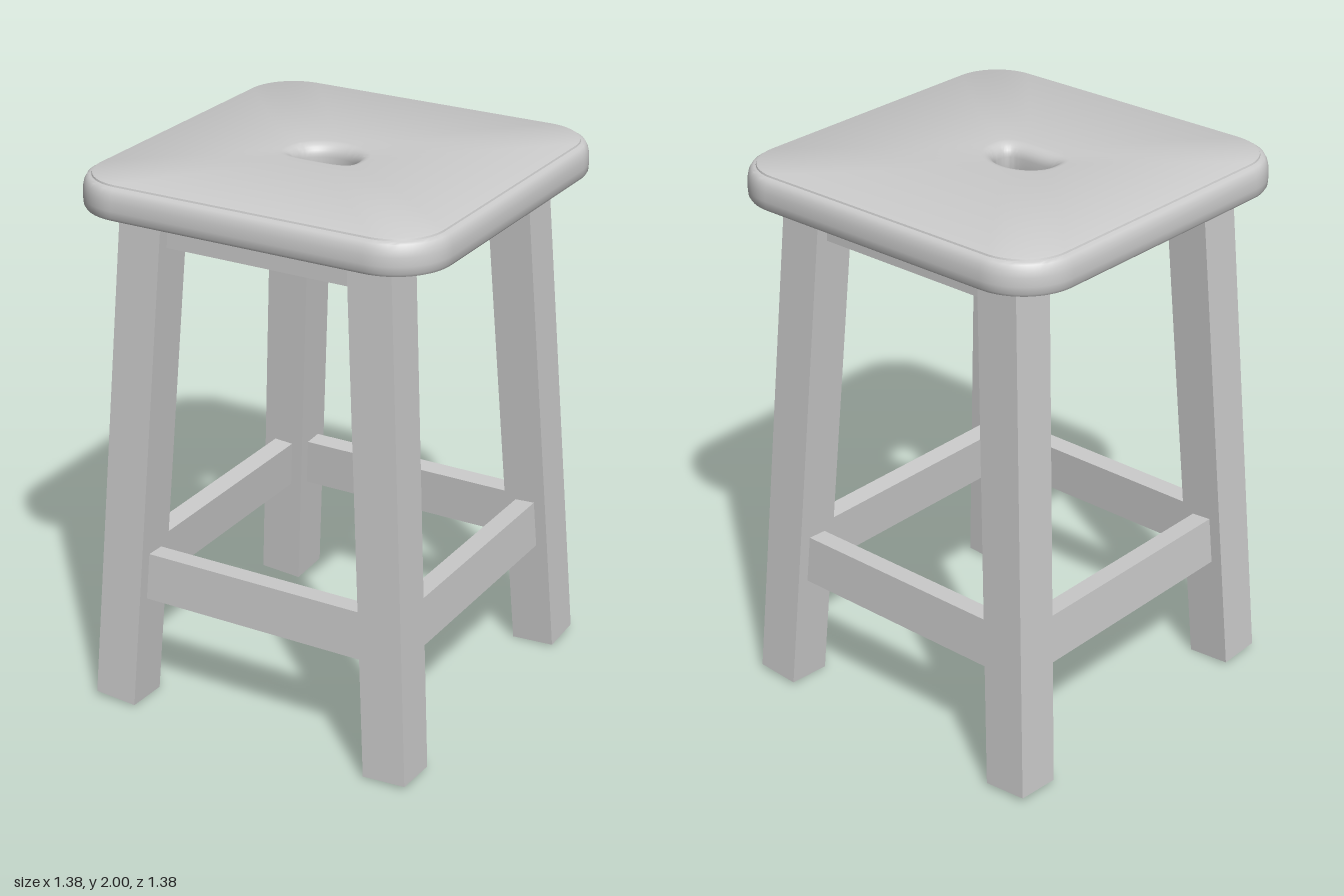
import * as THREE from 'three';
import { toCreasedNormals } from 'three/addons/utils/BufferGeometryUtils.js';

const material = new THREE.MeshStandardMaterial({ color: 0xcccccc });
const LEG = 0.164, RAIL = 0.075, TOP = 1.88;
const lerp = THREE.MathUtils.lerp;

// Leg centre lines: [value at the floor, value under the seat]
const LINES = { xNeg: [-0.573, -0.442], xPos: [0.542, 0.432], zPos: [0.557, 0.484], zNeg: [-0.595, -0.484] };
const at = (line, y) => lerp(line[0], line[1], y / TOP);
const slope = (line) => (line[1] - line[0]) / TOP;

function addMesh(group, name, geometry) {
  const mesh = new THREE.Mesh(geometry, material);
  mesh.name = name;
  group.add(mesh);
  return mesh;
}

// Splayed square leg, its foot cut square to its axis
function legGeometry(lx, lz) {
  const geo = new THREE.BoxGeometry(LEG, 1, LEG);
  const p = geo.attributes.position;
  const sx = slope(lx), sz = slope(lz);
  const lift = (Math.abs(sx) + Math.abs(sz)) * LEG / 2;
  for (let i = 0; i < p.count; i++) {
    const x = p.getX(i), z = p.getZ(i);
    const y = p.getY(i) > 0 ? TOP + 0.01 : lift - sx * x - sz * z;
    p.setXYZ(i, x + at(lx, y), y, z + at(lz, y));
  }
  geo.computeVertexNormals();
  return geo;
}

// Ring of the seat outline: a rounded square
const ARC = 16, COUNT = 4 * (ARC + 1);
function outerRing(half, y) {
  const r = 0.21 - (0.688 - half), c = half - r, ring = [];
  for (let q = 0; q < 4; q++) {
    const cx = q === 0 || q === 3 ? c : -c, cz = q < 2 ? c : -c;
    for (let k = 0; k <= ARC; k++) {
      const t = (q + k / ARC) * Math.PI / 2;
      ring.push([cx + r * Math.cos(t), y, cz + r * Math.sin(t)]);
    }
  }
  return ring;
}

// Ring of the hand hole: domed at the back, nearly flat at the front
function holeRing(grow, y) {
  const ring = [];
  const soft = (v) => Math.sign(v) * Math.pow(Math.abs(v), 0.55);
  for (let i = 0; i < COUNT; i++) {
    const t = (i + 0.5) / COUNT * Math.PI * 2;
    const c = Math.cos(t), s = Math.sin(t), front = s > 0;
    ring.push([
      -0.037 + (0.112 + grow) * (front ? soft(c) : c), y,
      0.033 + (front ? (0.053 + grow) * soft(s) : (0.088 + grow) * s),
    ]);
  }
  return ring;
}

// Seat skin: rim, top, hole wall and underside as one closed loop of rings
function seatGeometry() {
  const rim = [[0.68, 1.88], [0.686, 1.89], [0.688, 1.915], [0.687, 1.945], [0.682, 1.968],
    [0.673, 1.984], [0.664, 1.989], [0.657, 1.99], [0.655, 1.996], [0.648, 2.0]];
  const rings = rim.map(([half, y]) => outerRing(half, y));
  for (let k = 0; k <= 6; k++) {
    const a = k / 6 * Math.PI / 2;
    rings.push(holeRing(0.045 * (1 - Math.sin(a)), 1.955 + 0.045 * Math.cos(a)));
  }
  for (let k = 0; k <= 4; k++) {
    const a = k / 4 * Math.PI / 2;
    rings.push(holeRing(0.03 * (1 - Math.cos(a)), 1.91 - 0.03 * Math.sin(a)));
  }
  const index = [];
  for (let r = 0; r < rings.length; r++) {
    const n = (r + 1) % rings.length;
    for (let i = 0; i < COUNT; i++) {
      const j = (i + 1) % COUNT;
      const a = r * COUNT + i, b = r * COUNT + j, c = n * COUNT + i, d = n * COUNT + j;
      index.push(a, c, b, b, c, d);
    }
  }
  const geo = new THREE.BufferGeometry();
  geo.setAttribute('position', new THREE.Float32BufferAttribute(rings.flat(2), 3));
  geo.setIndex(index);
  return toCreasedNormals(geo, 0.7);
}

export function createModel() {
  const group = new THREE.Group();
  const { xNeg, xPos, zPos, zNeg } = LINES;

  addMesh(group, 'seat', seatGeometry());

  addMesh(group, 'frontLeftLeg', legGeometry(xPos, zPos));
  addMesh(group, 'frontRightLeg', legGeometry(xNeg, zPos));
  addMesh(group, 'backLeftLeg', legGeometry(xPos, zNeg));
  addMesh(group, 'backRightLeg', legGeometry(xNeg, zNeg));

  // Aprons sit upright under the seat; stretchers lean with the legs
  const levels = [
    { part: 'Apron', low: 1.755, high: 1.885, lean: 0 },
    { part: 'Stretcher', low: 0.422, high: 0.6, lean: 1 },
  ];
  for (const { part, low, high, lean } of levels) {
    const y = (low + high) / 2, h = high - low;
    const x0 = at(xNeg, y), x1 = at(xPos, y), z0 = at(zNeg, y), z1 = at(zPos, y);
    for (const [side, line] of [['front', zPos], ['back', zNeg]]) {
      const rail = addMesh(group, side + part, new THREE.BoxGeometry(x1 - x0, h, RAIL));
      rail.position.set((x0 + x1) / 2, y, at(line, y));
      rail.rotation.x = lean * Math.atan(slope(line));
    }
    for (const [side, line] of [['left', xPos], ['right', xNeg]]) {
      const rail = addMesh(group, side + part, new THREE.BoxGeometry(RAIL, h, z1 - z0));
      rail.position.set(at(line, y), y, (z0 + z1) / 2);
      rail.rotation.z = -lean * Math.atan(slope(line));
    }
  }
  return group;
}
